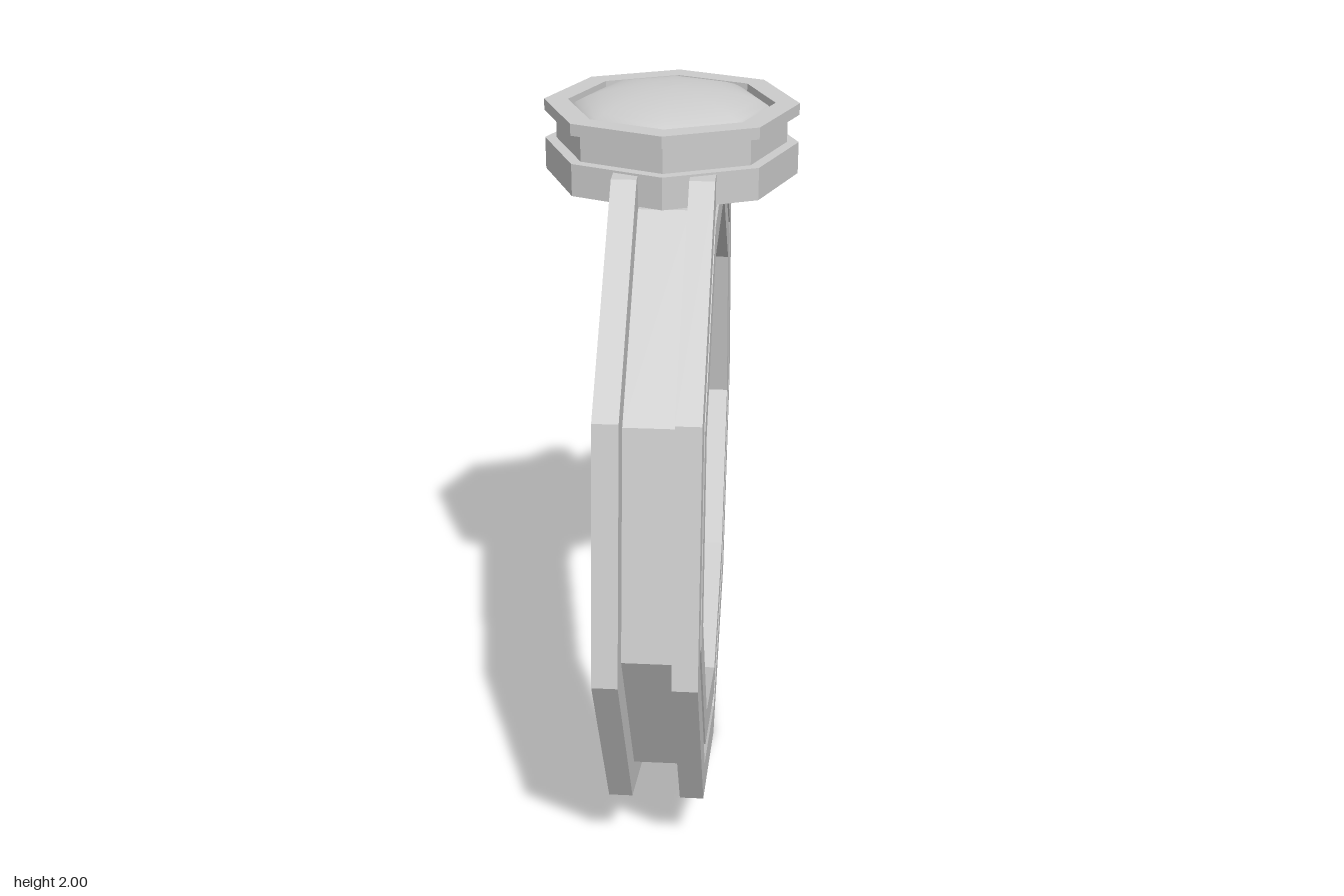
import * as THREE from 'three';

const V = (list) => list.map(([r, h]) => new THREE.Vector2(r, h));

export function createModel() {
  const model = new THREE.Group();
  const faceted = new THREE.MeshStandardMaterial({ color: 0xcccccc, flatShading: true });
  const smooth = new THREE.MeshStandardMaterial({ color: 0xcccccc });

  function add(name, geometry, material) {
    const mesh = new THREE.Mesh(geometry, material);
    mesh.name = name;
    model.add(mesh);
    return mesh;
  }

  // Nine-sided band: cross-section with two outer rails, a groove between
  // them, a groove in each side, and a full-width inner liner
  const w = 0.127, web = 0.064;
  const section = V([
    [0.72, -w], [0.81, -w], [0.81, -web], [0.86, -web], [0.86, -w], [0.955, -w],
    [0.955, -web], [0.865, -web], [0.865, web], [0.955, web],
    [0.955, w], [0.86, w], [0.86, web], [0.81, web], [0.81, w], [0.72, w], [0.72, -w],
  ]);
  const band = new THREE.LatheGeometry(section, 9);
  band.rotateZ(Math.PI / 2); // axis along x
  band.rotateX(Math.PI / 2); // one corner at the bottom
  add('band', band, faceted).position.set(0.003, 0.955, 0);

  // Octagonal setting: base plate, narrower neck, open rim
  const setting = V([
    [0, 1.775], [0.33, 1.775], [0.33, 1.858], [0.3, 1.858], [0.3, 1.93],
    [0.33, 1.93], [0.33, 1.96], [0.268, 1.96], [0.268, 1.92], [0, 1.92],
  ]);
  add('setting', new THREE.LatheGeometry(setting, 8), faceted).position.z = -0.007;

  // Domed stone, smooth over an eight-sided outline
  const dome = [];
  for (let i = 0; i <= 8; i++) {
    const a = (i / 8) * (Math.PI / 2);
    dome.push([0.268 * Math.cos(a), 1.925 + 0.075 * Math.sin(a)]);
  }
  dome[8][0] = 0;
  add('stone', new THREE.LatheGeometry(V(dome), 8), smooth).position.z = -0.007;

  return model;
}
